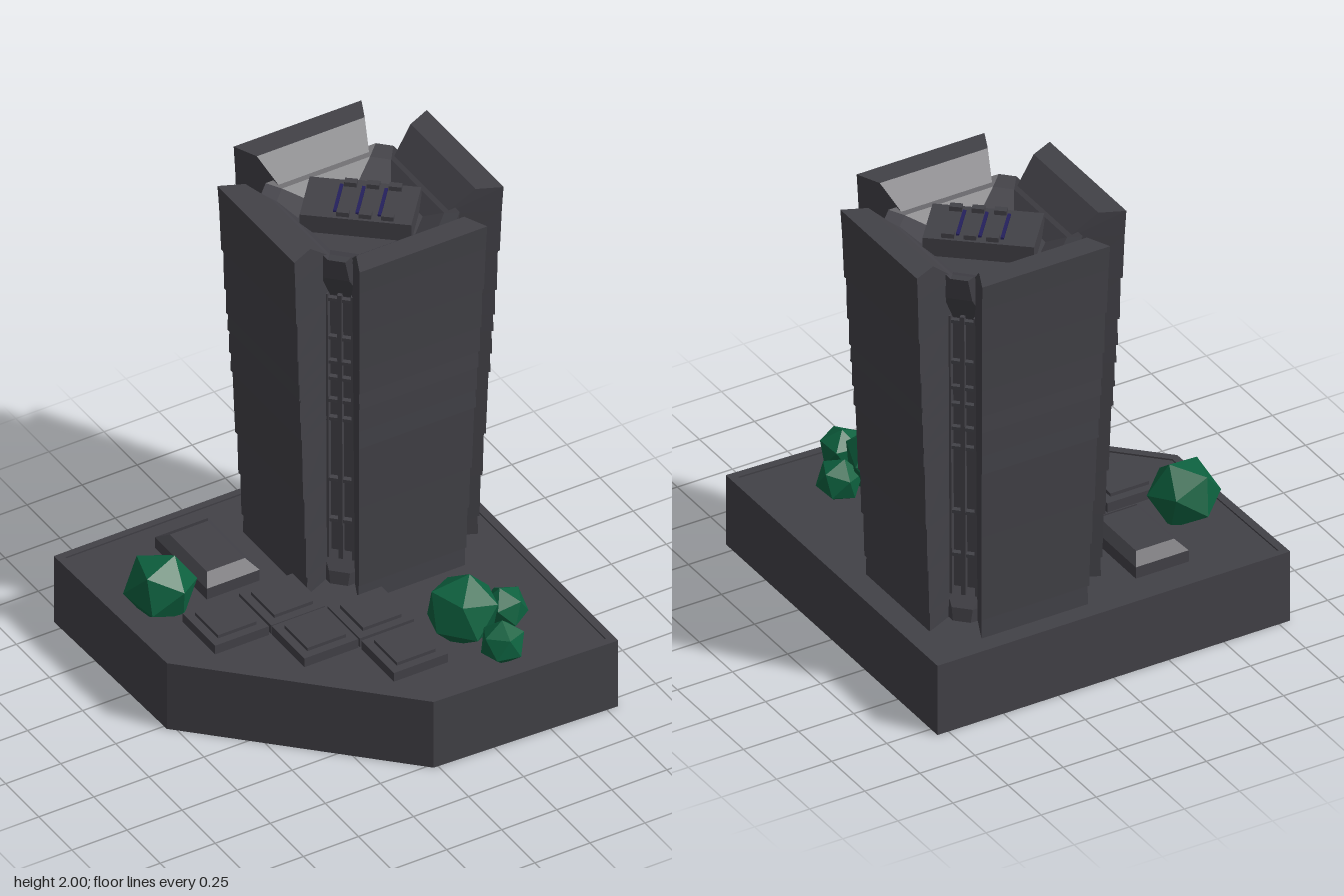
import * as THREE from 'three';

const mat = (name, color) => {
  const m = new THREE.MeshStandardMaterial({ color });
  m.name = name;
  return m;
};

// Closed solid through rings of [x, z] points (counter-clockwise from above): [{ y, pts }]
function loft(rings) {
  const pos = [];
  const put = (r, i) => pos.push(r.pts[i][0], r.y, r.pts[i][1]);
  const n = rings[0].pts.length;
  for (let k = 0; k < rings.length - 1; k++) {
    const a = rings[k], b = rings[k + 1];
    for (let i = 0; i < n; i++) {
      const j = (i + 1) % n;
      put(a, i); put(a, j); put(b, j);
      put(a, i); put(b, j); put(b, i);
    }
  }
  const lo = rings[0], hi = rings[rings.length - 1];
  for (let i = 1; i < n - 1; i++) {
    put(hi, 0); put(hi, i); put(hi, i + 1);
    put(lo, 0); put(lo, i + 1); put(lo, i);
  }
  const g = new THREE.BufferGeometry();
  g.setAttribute('position', new THREE.Float32BufferAttribute(pos, 3));
  g.computeVertexNormals();
  return g;
}

const rect = (x0, x1, z0, z1, ix = 0, iz = ix) => [
  [x0 + ix, z1 - iz], [x1 - ix, z1 - iz], [x1 - ix, z0 + iz], [x0 + ix, z0 + iz]];

// Square with chamfered corners: flat sides at distance d, half width c
const octagon = (d, c) => [
  [-c, d], [c, d], [d, c], [d, -c], [c, -d], [-c, -d], [-d, -c], [-d, c]];

export function createModel() {
  const model = new THREE.Group();
  const stone = mat('charcoal stone', 0x424147);
  const leaf = mat('dark green foliage', 0x0d613f);
  const violet = mat('deep violet glass', 0x24205c);
  leaf.flatShading = true;

  const add = (parent, name, geo, material, x = 0, y = 0, z = 0) => {
    const m = new THREE.Mesh(geo, material);
    m.name = name;
    m.position.set(x, y, z);
    parent.add(m);
    return m;
  };

  // Plinth with a cut corner and a low rim
  const outer = [[-0.8, -0.8], [-0.78, 0.02], [-0.02, 0.77], [0.8, 0.8], [0.8, -0.8]];
  const inner = [[-0.765, -0.77], [-0.748, 0.005], [-0.008, 0.737], [0.765, 0.765], [0.765, -0.77]];
  add(model, 'plinth', loft([
    { y: 0, pts: outer }, { y: 0.32, pts: outer },
    { y: 0.32, pts: inner }, { y: 0.313, pts: inner }]), stone);

  // Square paving blocks with raised middles
  const blocks = [[-0.585, -0.185], [-0.33, -0.185], [-0.33, 0.065], [-0.078, 0.065], [-0.08, 0.325]];
  for (const [x, z] of blocks) {
    const edge = rect(x, x + 0.245, z, z + 0.245);
    const mid = rect(x, x + 0.245, z, z + 0.245, 0.035);
    add(model, 'pavingBlock', loft([
      { y: 0.31, pts: edge }, { y: 0.355, pts: edge },
      { y: 0.355, pts: mid }, { y: 0.37, pts: mid }]), stone);
  }

  // Annex with a hipped roof
  const annex = rect(-0.43, -0.19, -0.65, -0.26);
  add(model, 'annex', loft([
    { y: 0.31, pts: annex }, { y: 0.365, pts: annex },
    { y: 0.4, pts: rect(-0.43, -0.19, -0.65, -0.26, 0.034, 0.055) }]), stone);

  // Faceted trees
  const trees = [
    [-0.6, 0.4, -0.33, 0.15, 0.3], [0.31, 0.43, 0.44, 0.155, 0.9],
    [0.49, 0.385, 0.46, 0.095, 2.1], [0.365, 0.385, 0.65, 0.095, 1.4]];
  for (const [x, y, z, r, turn] of trees) {
    const tree = add(model, 'tree', new THREE.IcosahedronGeometry(r, 0), leaf, x, y, z);
    tree.rotation.set(0.25, turn, 0.15);
  }

  const tower = new THREE.Group();
  tower.name = 'tower';
  tower.position.set(0.305, 0, -0.322);
  model.add(tower);

  // Four outward-leaning slabs, each made of overlapping bands
  const levels = [0.31, 0.4, 0.6, 0.8, 1.1, 1.19, 1.3, 1.38, 1.5, 1.69];
  const section = (y, out) => {
    const t = (y - 0.32) / 1.68;
    const d = 0.385 + 0.09 * t + out, h = 0.24 + 0.05 * t + out / 2;
    const di = 0.22 + 0.04 * t, hi = 0.165 + 0.035 * t;
    return [[-h, d], [h, d], [hi, di], [-hi, di]];
  };
  for (let s = 0; s < 4; s++) {
    const slab = new THREE.Group();
    slab.name = 'slab';
    slab.rotation.y = s * Math.PI / 2;
    tower.add(slab);
    for (let i = 0; i < levels.length - 1; i++) {
      add(slab, 'slabBand', loft([
        { y: levels[i], pts: section(levels[i], 0.004) },
        { y: levels[i + 1], pts: section(levels[i + 1], -0.003) }]), stone);
    }
    // Crown band: flat rim, then a slope down towards the roof
    add(slab, 'slabCrown', loft([
      { y: 1.69, pts: section(1.69, 0.004) },
      { y: 1.89, pts: section(1.89, 0) },
      { y: 2, pts: [[-0.29, 0.475], [0.29, 0.475], [0.245, 0.375], [-0.245, 0.375]] }]), stone);
  }

  // Core with flared corner feet and capitals, and a dished roof
  add(tower, 'core', loft([
    [0.31, 0.27, 0.22], [0.37, 0.27, 0.21], [0.44, 0.26, 0.15], [1.7, 0.29, 0.16],
    [1.82, 0.3, 0.23], [1.92, 0.3, 0.25], [1.9, 0.26, 0.2], [1.85, 0.21, 0.12],
  ].map(([y, d, c]) => ({ y, pts: octagon(d, c) }))), stone);

  // Vertical ribs and cross bars in the recessed corners
  for (let s = 0; s < 4; s++) {
    const corner = new THREE.Group();
    corner.name = 'cornerRibs';
    corner.rotation.y = Math.PI / 4 + s * Math.PI / 2;
    tower.add(corner);
    for (const x of [-0.055, 0, 0.055]) {
      const rib = add(corner, 'rib', new THREE.BoxGeometry(0.018, 1.3, 0.05), stone, x, 1.07, 0.307);
      rib.rotation.x = 0.02;
    }
    for (const y of levels.slice(2)) {
      add(corner, 'crossBar', new THREE.BoxGeometry(0.13, 0.015, 0.035), stone, 0, y, 0.295 + 0.02 * (y - 0.4));
    }
  }

  // Rotated roof deck with violet strips and small vents
  const deck = new THREE.Group();
  deck.name = 'roofDeck';
  deck.rotation.y = -0.7;
  tower.add(deck);
  add(deck, 'deckBlock', new THREE.BoxGeometry(0.44, 0.09, 0.25), stone, 0, 1.885, 0);
  for (const x of [-0.088, 0, 0.088]) {
    add(deck, 'lightStrip', new THREE.BoxGeometry(0.013, 0.008, 0.175), violet, x, 1.934, 0);
    for (const z of [-0.098, 0.098]) {
      add(deck, 'vent', new THREE.BoxGeometry(0.05, 0.02, 0.03), stone, x + 0.035, 1.94, z);
    }
  }
  return model;
}
